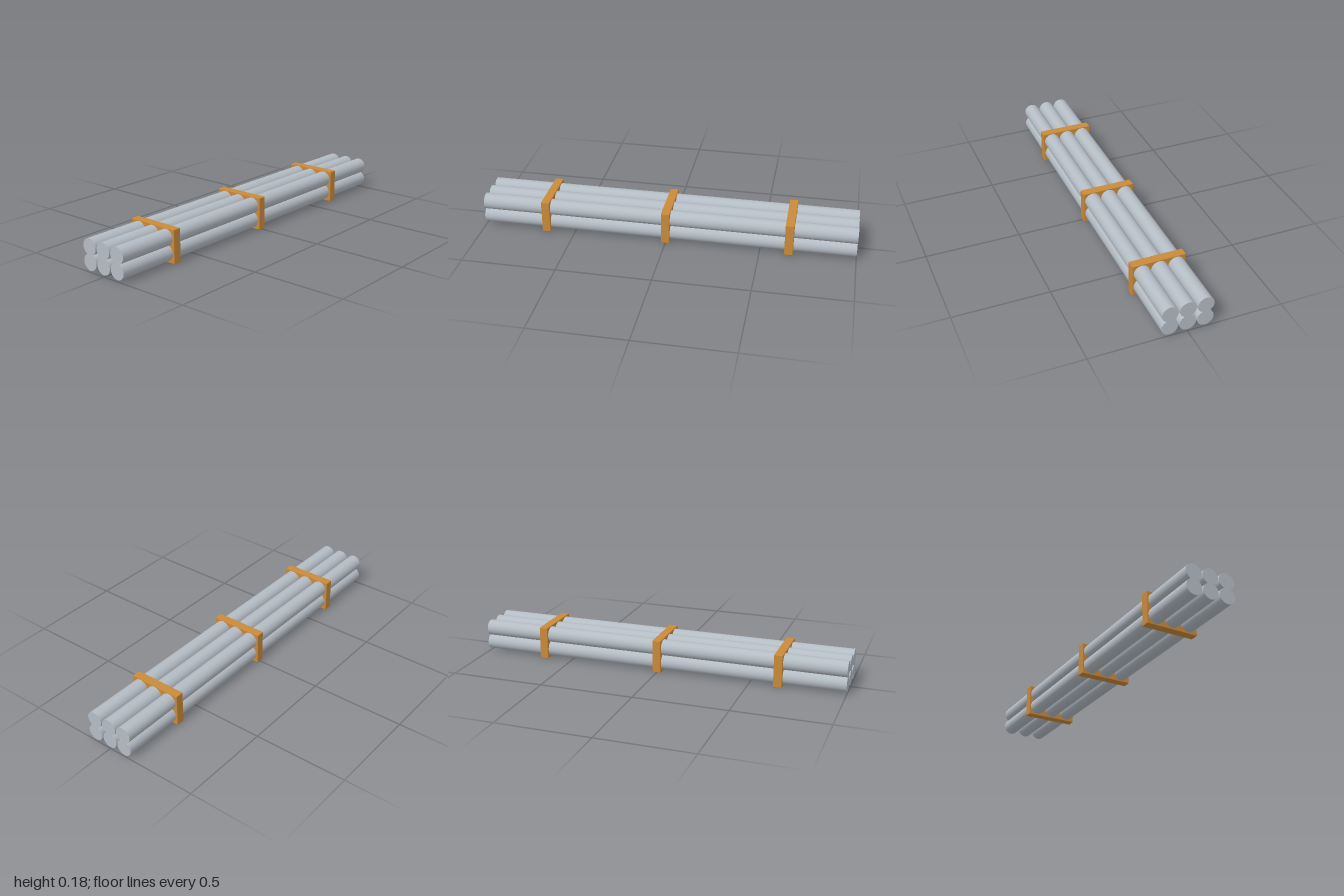
import * as THREE from 'three';
import { RoundedBoxGeometry } from 'three/addons/geometries/RoundedBoxGeometry.js';

export function createModel() {
  const model = new THREE.Group();
  model.name = 'pipeBundle';

  const steel = new THREE.MeshStandardMaterial({ color: 0xb4bcc4 });
  steel.name = 'steel';
  const wood = new THREE.MeshStandardMaterial({ color: 0xc98a3a });
  wood.name = 'wood';

  // Six long pipes in two rows of three
  const pipeGeometry = new THREE.CylinderGeometry(0.0425, 0.0425, 2, 48);
  pipeGeometry.rotateZ(Math.PI / 2);
  for (const y of [0.051, 0.129]) {
    for (const z of [-0.0915, 0, 0.0915]) {
      const pipe = new THREE.Mesh(pipeGeometry, steel);
      pipe.name = 'pipe';
      pipe.position.set(0, y, z);
      model.add(pipe);
    }
  }

  // Three solid bevelled spacers holding the pipes together
  const spacerGeometry = new RoundedBoxGeometry(0.046, 0.177, 0.285, 1, 0.004);
  for (const x of [-0.652, 0, 0.652]) {
    const spacer = new THREE.Mesh(spacerGeometry, wood);
    spacer.name = 'spacer';
    spacer.position.set(x, 0.0885, 0);
    model.add(spacer);
  }

  return model;
}
